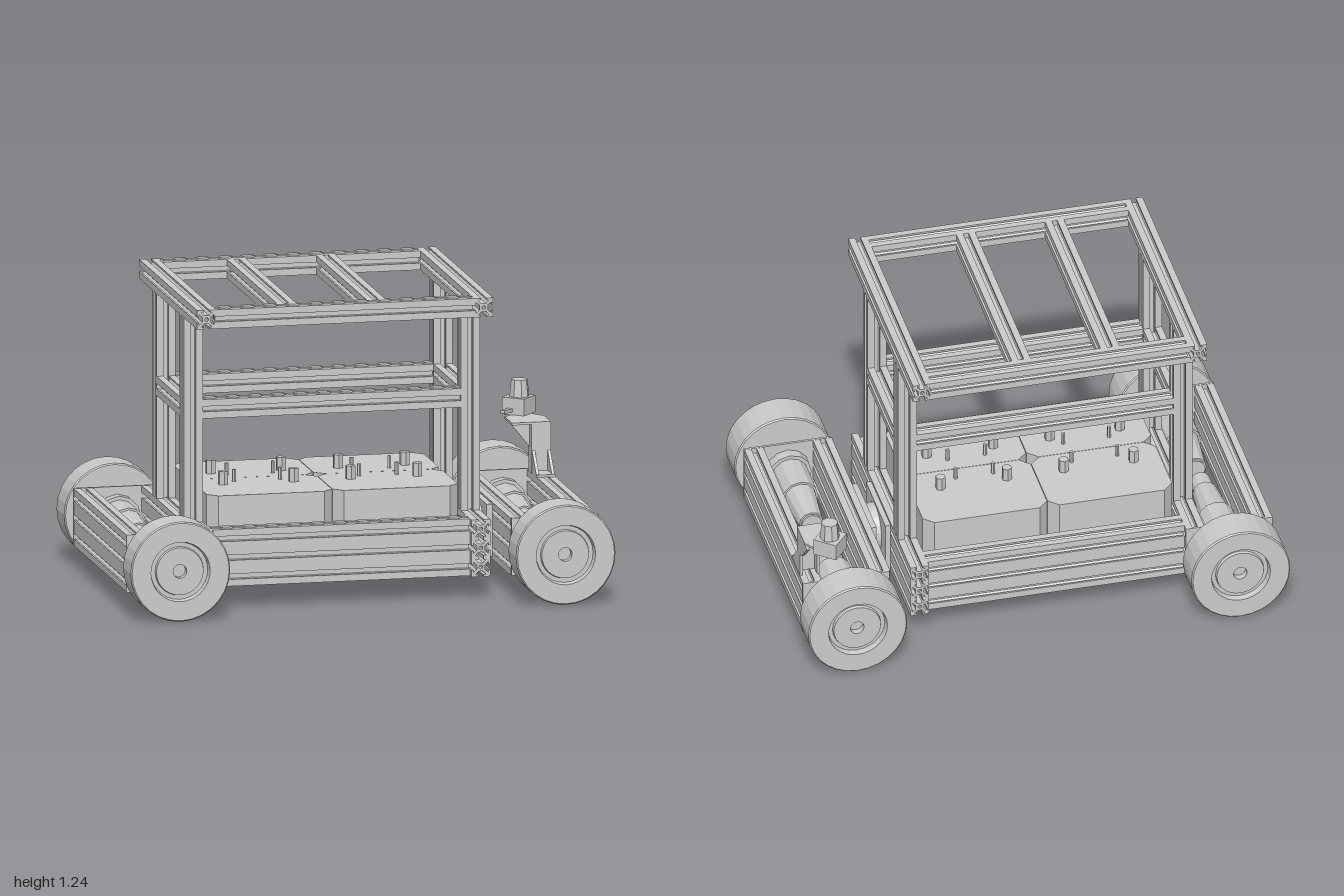
import * as THREE from 'three';

const S = 0.078; // side of one slotted profile
const mat = new THREE.MeshStandardMaterial({ color: 0xcccccc, flatShading: true, side: THREE.DoubleSide });

// Square aluminium profile with a T-slot on each side and a centre bore
function profileShape() {
  const h = S / 2;
  const side = [[h, -h], [h, -0.011], [h - 0.008, -0.011], [h - 0.008, -0.022], [h - 0.022, -0.01],
    [h - 0.022, 0.01], [h - 0.008, 0.022], [h - 0.008, 0.011], [h, 0.011]];
  const pts = [];
  for (let k = 0; k < 4; k++) {
    for (const [x, y] of side) pts.push(new THREE.Vector2(x, y).rotateAround(new THREE.Vector2(), k * Math.PI / 2));
  }
  const shape = new THREE.Shape(pts);
  shape.holes.push(new THREE.Path().absarc(0, 0, 0.008, 0, Math.PI * 2, true));
  return shape;
}

export function createModel() {
  const model = new THREE.Group();
  model.name = 'wheeledPlatform';
  const shape = profileShape();

  function add(parent, name, geo, x = 0, y = 0, z = 0) {
    const m = new THREE.Mesh(geo, mat);
    m.name = name;
    m.position.set(x, y, z);
    parent.add(m);
    return m;
  }
  const box = (p, name, w, h, d, x, y, z) => add(p, name, new THREE.BoxGeometry(w, h, d), x, y, z);

  // Slotted beam along an axis, optionally several profiles high
  function beam(parent, name, axis, length, x, y, z, rows = 1) {
    const geo = new THREE.ExtrudeGeometry(shape, { depth: length, bevelEnabled: false, curveSegments: 4 });
    geo.translate(0, 0, -length / 2);
    if (axis === 'x') geo.rotateY(Math.PI / 2);
    if (axis === 'y') geo.rotateX(Math.PI / 2);
    for (let i = 0; i < rows; i++) add(parent, name, geo, x, y + (i - (rows - 1) / 2) * S, z);
  }
  // Lathe along z from [radius, z] pairs
  function turned(points, segments) {
    return new THREE.LatheGeometry(points.map(([r, z]) => new THREE.Vector2(r, z)), segments).rotateX(Math.PI / 2);
  }

  // Main frame
  const frame = new THREE.Group();
  frame.name = 'frame';
  model.add(frame);
  const xs = [-0.655, 0.487], midX = -0.084, spanX = 1.064;
  const postZ = [-0.247, 0.258];
  for (const x of xs) {
    beam(frame, 'lowerEndBeam', 'z', 0.98, x, 0.21, 0, 3);
    beam(frame, 'topEndBeam', 'z', 1.075, x, 1.207, 0.005);
    beam(frame, 'middleEndBeam', 'z', 0.427, x, 0.79, 0.005);
    for (const z of postZ) beam(frame, 'post', 'y', 0.841, x, 0.7475, z);
  }
  for (const s of [-1, 1]) {
    beam(frame, 'lowerSideBeam', 'x', spanX, midX, 0.21, s * 0.425, 3);
    beam(frame, 'topSideBeam', 'x', spanX, midX, 1.207, 0.005 + s * 0.498);
  }
  for (const z of postZ) beam(frame, 'middleSideBeam', 'x', spanX, midX, 0.79, z);
  for (const x of [-0.31, 0.058]) beam(frame, 'topCrossBeam', 'z', 0.918, x, 1.207, 0.005);
  box(frame, 'floorPlate', spanX, 0.012, 0.78, midX, 0.1, 0);

  // Four battery blocks with chamfered corners
  const batteries = new THREE.Group();
  batteries.name = 'batteries';
  model.add(batteries);
  const bw = 0.258, bd = 0.174, c = 0.04;
  const outline = new THREE.Shape([[bw - c, -bd], [bw, c - bd], [bw, bd - c], [bw - c, bd],
    [c - bw, bd], [-bw, bd - c], [-bw, c - bd], [c - bw, -bd]].map(([x, y]) => new THREE.Vector2(x, y)));
  const block = new THREE.ExtrudeGeometry(outline, { depth: 0.334, bevelEnabled: false }).rotateX(-Math.PI / 2);
  for (const x of [-0.343, 0.175]) {
    for (const z of [-0.185, 0.165]) add(batteries, 'battery', block, x, 0.106, z);
  }
  const bolt = new THREE.CylinderGeometry(0.021, 0.021, 0.055, 6);
  const pin = new THREE.CylinderGeometry(0.008, 0.008, 0.05, 6);
  for (const z of [-0.125, 0.107]) {
    for (const x of [-0.49, -0.2, 0.035, 0.31]) add(batteries, 'terminalBolt', bolt, x, 0.467, z);
    for (const x of [-0.435, -0.245, 0.08, 0.235]) add(batteries, 'terminalPin', pin, x, 0.465, z > 0 ? 0.06 : -0.075);
  }

  // Wheel with a recessed face and hub bore; outer face towards +z
  const wheelGeo = turned([[0.025, 0], [0.2, 0], [0.205, 0.005], [0.205, 0.145], [0.2, 0.15], [0.122, 0.15],
    [0.117, 0.125], [0.1, 0.125], [0.097, 0.138], [0.028, 0.138], [0.028, 0.11], [0, 0.11]], 28);
  // Gear motor: stepped and tapering towards the middle
  function motorGeo(inner) {
    return turned([[0, inner], [0.043, inner], [0.043, 0.085], [0.05, 0.085], [0.066, 0.27], [0.075, 0.27],
      [0.075, 0.44], [0.09, 0.44], [0.09, 0.515], [0.06, 0.515], [0.06, 0.545], [0, 0.545]], 12);
  }

  // Drive units at both ends
  function driveUnit(name, cx, beams) {
    const unit = new THREE.Group();
    unit.name = name;
    model.add(unit);
    for (const x of beams) beam(unit, 'axleBeam', 'z', 0.97, x, 0.21, 0, 3);
    for (const s of [-1, 1]) {
      const side = new THREE.Group();
      side.name = s > 0 ? 'frontDrive' : 'rearDrive';
      side.position.set(cx, 0.207, 0);
      side.rotation.y = s > 0 ? 0 : Math.PI;
      unit.add(side);
      add(side, 'wheel', wheelGeo, 0, 0, 0.54);
      add(side, 'motor', motorGeo(s > 0 ? 0.075 : 0.005));
      box(side, 'motorEndCap', 0.045, 0.11, 0.07, 0, 0, 0.3);
      box(side, 'motorPlate', 0.36, 0.236, 0.01, 0, 0.003, 0.488);
      for (let i = 0; i < 6; i++) {
        const a = i * Math.PI / 3;
        add(side, 'flangeScrew', new THREE.CylinderGeometry(0.01, 0.01, 0.02, 6).rotateX(Math.PI / 2),
          Math.cos(a) * 0.076, Math.sin(a) * 0.076, 0.522);
      }
    }
    return unit;
  }
  driveUnit('rightDriveUnit', -0.795, [-0.935]);
  const pivoting = driveUnit('leftDriveUnit', 0.793, [0.648, 0.932]);

  // Pivot joint between frame and left unit
  box(pivoting, 'pivotFramePlate', 0.022, 0.215, 0.32, 0.538, 0.212, -0.005);
  box(pivoting, 'pivotUnitPlate', 0.024, 0.215, 0.32, 0.597, 0.212, -0.005);
  add(pivoting, 'pivotBearing', new THREE.CylinderGeometry(0.1, 0.1, 0.05, 20).rotateZ(Math.PI / 2), 0.567, 0.212, -0.005);

  // Sensor mast on the rear left corner
  const mast = new THREE.Group();
  mast.name = 'sensorMast';
  model.add(mast);
  // Web in the z-y plane, given thickness along x
  function web(name, corners, x, thick) {
    const s = new THREE.Shape(corners.map(([z, y]) => new THREE.Vector2(-z, y)));
    const g = new THREE.ExtrudeGeometry(s, { depth: thick, bevelEnabled: false }).rotateY(Math.PI / 2);
    add(mast, name, g, x, 0, 0);
  }
  box(mast, 'mastBack', 0.08, 0.205, 0.012, 0.93, 0.43, -0.391);
  for (const x of [0.895, 0.965]) box(mast, 'mastSide', 0.01, 0.205, 0.05, x, 0.43, -0.41);
  for (const x of [0.893, 0.957]) web('footGusset', [[-0.3, 0.327], [-0.385, 0.327], [-0.385, 0.42]], x, 0.012);
  box(mast, 'footPlate', 0.076, 0.01, 0.09, 0.931, 0.332, -0.342);
  web('headGusset', [[-0.43, 0.43], [-0.465, 0.445], [-0.55, 0.53], [-0.43, 0.53]], 0.958, 0.012);
  const gusset = new THREE.Shape([[0.81, 0.53], [0.89, 0.43], [0.89, 0.53]].map(([x, y]) => new THREE.Vector2(x, y)));
  add(mast, 'sideGusset', new THREE.ExtrudeGeometry(gusset, { depth: 0.012, bevelEnabled: false }), 0, 0, -0.43);
  const plate = new THREE.Shape([[0.81, 0.385], [0.97, 0.385], [0.97, 0.51], [0.9, 0.6], [0.81, 0.52]]
    .map(([x, y]) => new THREE.Vector2(x, y)));
  add(mast, 'headPlate', new THREE.ExtrudeGeometry(plate, { depth: 0.01, bevelEnabled: false }).rotateX(-Math.PI / 2), 0, 0.527, 0);
  const sensor = box(mast, 'sensorBase', 0.1, 0.07, 0.1, 0.882, 0.571, -0.585);
  sensor.rotation.y = 0.87;
  add(mast, 'sensorHead', new THREE.CylinderGeometry(0.034, 0.041, 0.072, 8), 0.885, 0.64, -0.585);
  box(mast, 'sensorPlug', 0.06, 0.014, 0.02, 0.825, 0.556, -0.54).rotation.y = 0.7;

  return model;
}
